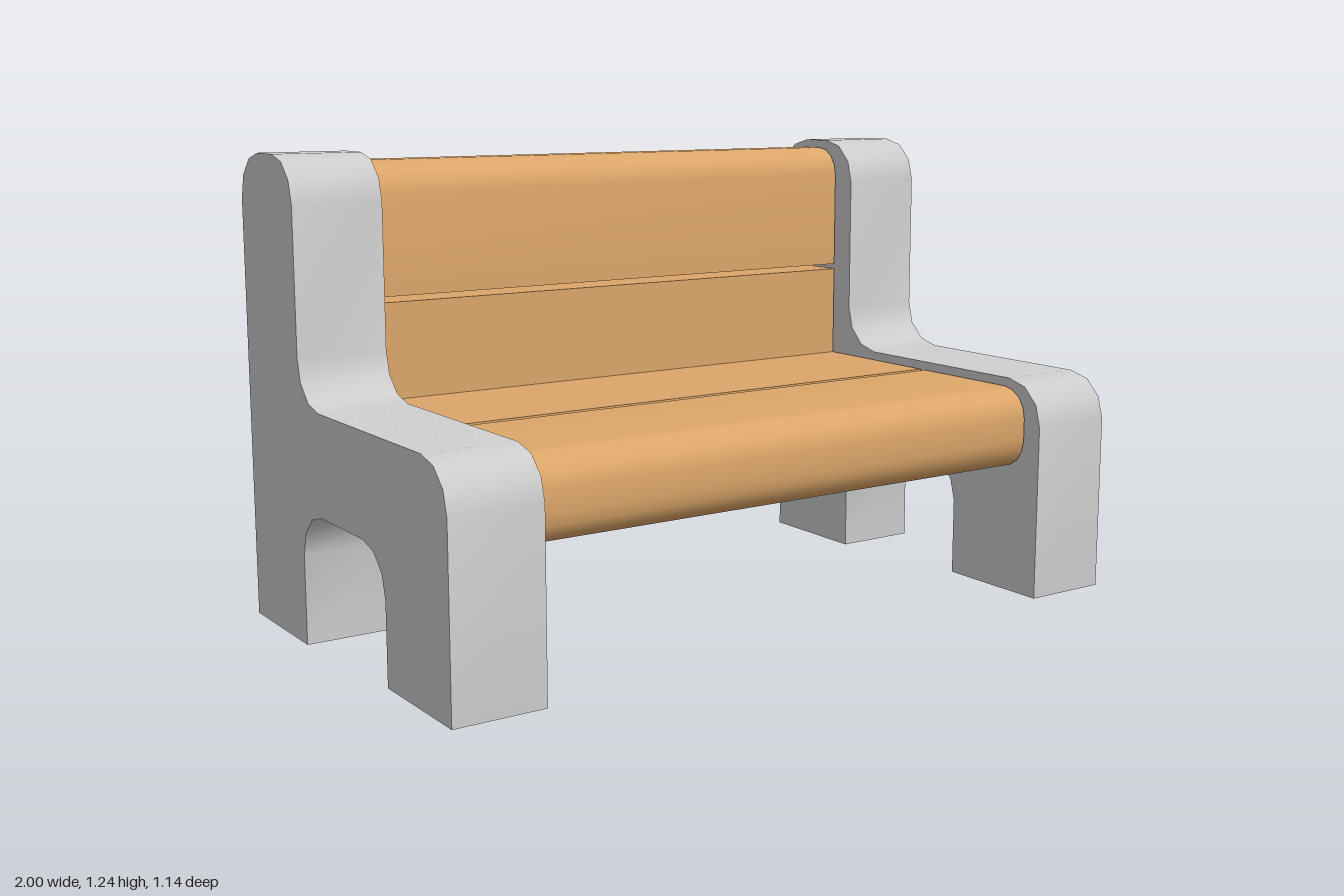
import * as THREE from 'three';
import { toCreasedNormals } from 'three/addons/utils/BufferGeometryUtils.js';

// Side profile from [z, y, cornerRadius] points; right-angled corners become arcs
function roundedProfile(corners, segments) {
  const points = [];
  const n = corners.length;
  corners.forEach(([z, y, r = 0], i) => {
    const p = new THREE.Vector2(z, y);
    if (!r) return points.push(p);
    const toPrev = new THREE.Vector2(...corners[(i + n - 1) % n].slice(0, 2)).sub(p).normalize();
    const toNext = new THREE.Vector2(...corners[(i + 1) % n].slice(0, 2)).sub(p).normalize();
    const centre = p.clone().addScaledVector(toPrev, r).addScaledVector(toNext, r);
    for (let k = 0; k <= segments; k++) {
      const t = (k / segments) * Math.PI / 2;
      points.push(centre.clone()
        .addScaledVector(toNext, -r * Math.cos(t))
        .addScaledVector(toPrev, -r * Math.sin(t)));
    }
  });
  return new THREE.Shape(points);
}

// Extrude a side profile along x, centred on x = 0
function sideExtrusion(name, corners, width, segments, material) {
  const geometry = new THREE.ExtrudeGeometry(roundedProfile(corners, segments), {
    depth: width, bevelEnabled: false,
  });
  geometry.translate(0, 0, -width / 2);
  geometry.rotateY(-Math.PI / 2);
  const mesh = new THREE.Mesh(toCreasedNormals(geometry, 0.65), material);
  mesh.name = name;
  return mesh;
}

export function createModel() {
  const bench = new THREE.Group();
  bench.name = 'bench';
  const stone = new THREE.MeshStandardMaterial({ color: 0xcccccc });
  const wood = new THREE.MeshStandardMaterial({ color: 0xdba569 });

  // End supports: front leg, arch, armrest and tall back post in one outline
  const R = 0.12;
  const support = [
    [0.57, 0.025], [0.57, 0.617, R],
    [-0.235, 0.617, R], [-0.235, 1.235, R],
    [-0.57, 1.235, R], [-0.57, 0],
    [-0.235, 0], [-0.235, 0.355, R],
    [0.245, 0.355, R], [0.245, 0.025],
  ];
  for (const [name, side] of [['leftSupport', 1], ['rightSupport', -1]]) {
    const mesh = sideExtrusion(name, support, 0.24, 3, stone);
    mesh.position.x = side * 0.88;
    bench.add(mesh);
  }

  // Planks between the supports, rounded only on the exposed long edges
  const r = 0.08;
  const planks = {
    frontSeatPlank: [[0.12, 0.375], [0.52, 0.375, r], [0.52, 0.595, r], [0.12, 0.595]],
    rearSeatPlank: [[-0.3, 0.375], [0.1, 0.375], [0.1, 0.595], [-0.3, 0.595]],
    lowerBackPlank: [[-0.52, 0.505], [-0.3, 0.505], [-0.3, 0.85], [-0.52, 0.85]],
    upperBackPlank: [[-0.52, 0.865], [-0.3, 0.865], [-0.3, 1.213, r], [-0.52, 1.213, r]],
  };
  for (const [name, corners] of Object.entries(planks)) {
    bench.add(sideExtrusion(name, corners, 1.505, 4, wood));
  }
  return bench;
}
